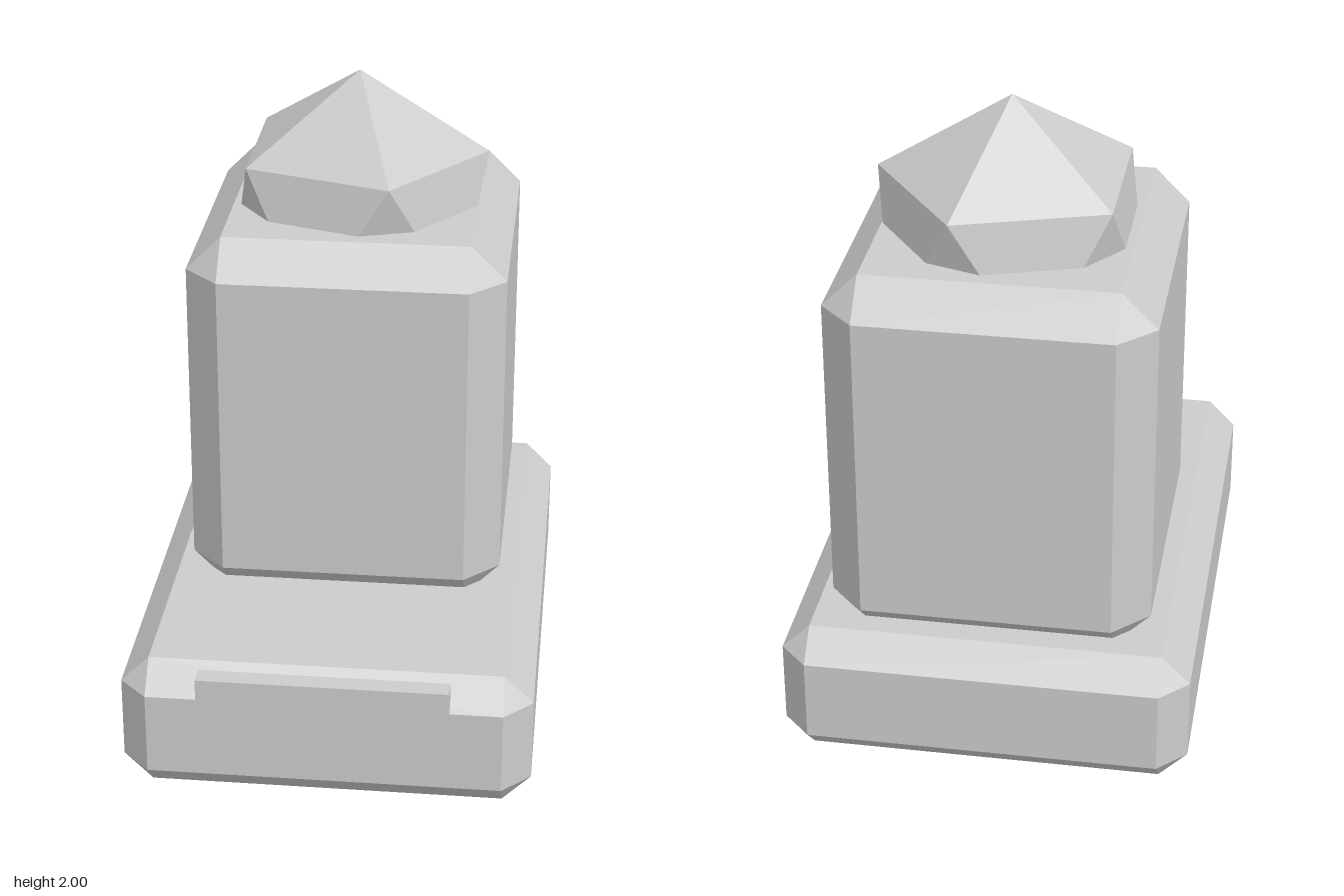
import * as THREE from 'three';
import { ConvexGeometry } from 'three/addons/geometries/ConvexGeometry.js';

const material = new THREE.MeshStandardMaterial({ color: 0xcccccc, flatShading: true });

function addPart(group, name, geometry, x, y, z) {
  const mesh = new THREE.Mesh(geometry, material);
  mesh.name = name;
  mesh.position.set(x, y, z);
  group.add(mesh);
  return mesh;
}

// Box with every edge cut at 45 degrees by c: each corner becomes a triangle
function chamferedBox(width, height, depth, c) {
  const half = [width / 2, height / 2, depth / 2];
  const points = [];
  for (const sx of [-1, 1]) for (const sy of [-1, 1]) for (const sz of [-1, 1]) {
    for (let axis = 0; axis < 3; axis++) {
      // One coordinate stays on the face, the other two are pulled in
      const [x, y, z] = half.map((h, i) => (i === axis ? h : h - c));
      points.push(new THREE.Vector3(sx * x, sy * y, sz * z));
    }
  }
  return new ConvexGeometry(points);
}

export function createModel() {
  const group = new THREE.Group();
  group.name = 'pedestalWithGem';
  const bodyZ = -0.238;

  // Long base slab
  addPart(group, 'base', chamferedBox(1.264, 0.44, 1.754, 0.088), 0, 0.22, -0.015);

  // Tall block, sunk slightly into the base
  addPart(group, 'body', chamferedBox(0.99, 1.205, 1.095, 0.11), 0, 0.9925, bodyZ);

  // Gem: an icosahedron standing on a point, its lower half inside the body
  const gem = new THREE.IcosahedronGeometry(0.459, 0);
  gem.rotateZ(-Math.atan(2 / (1 + Math.sqrt(5))));
  addPart(group, 'gem', gem, 0, 1.541, bodyZ);

  // Narrow plate across the front edge of the base
  addPart(group, 'frontPlate', new THREE.BoxGeometry(0.766, 0.106, 0.062), 0, 0.386, 0.861);

  return group;
}
